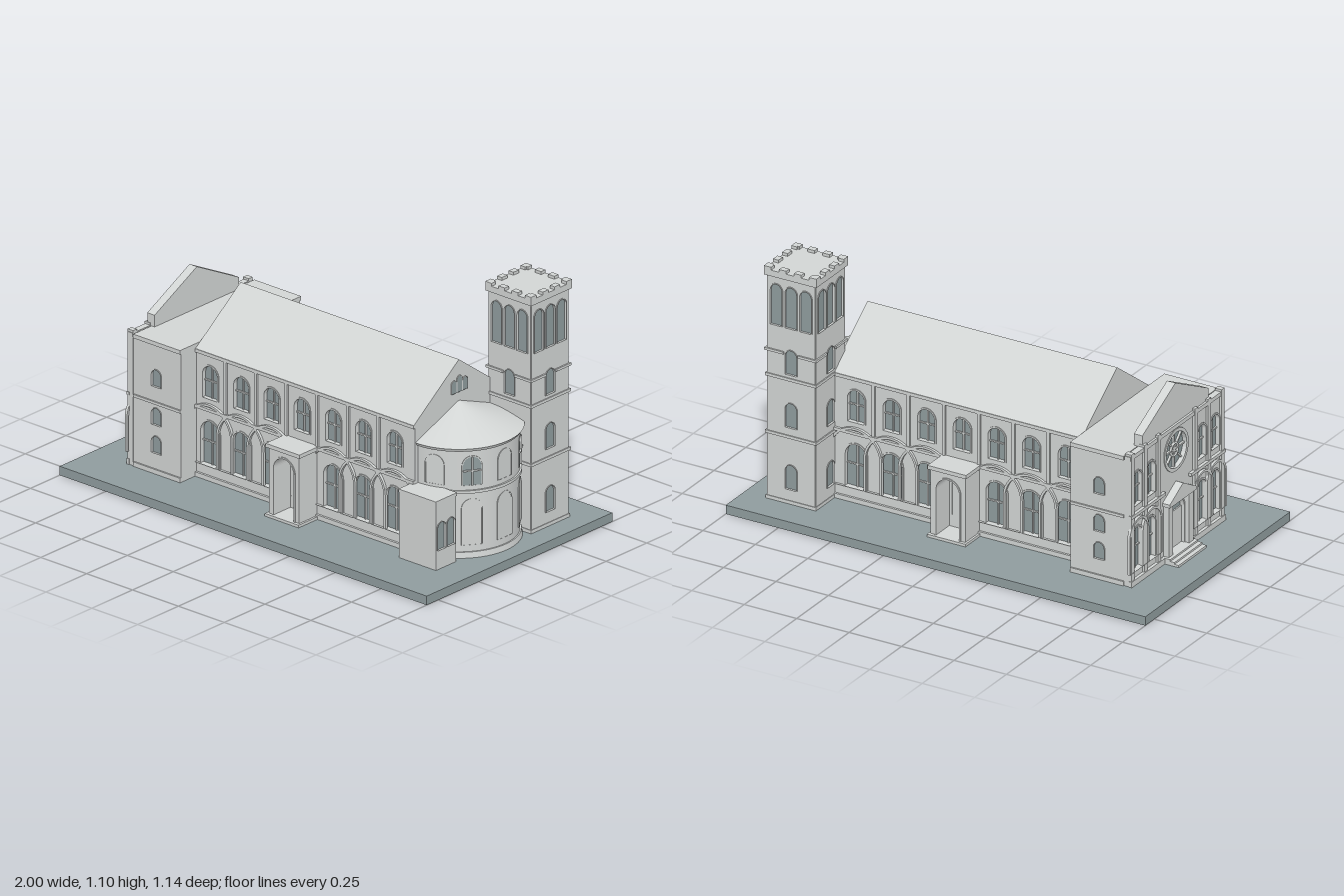
import * as THREE from 'three';

const stone = new THREE.MeshStandardMaterial({ color: 0xd2d5d4, side: THREE.DoubleSide });
stone.name = 'pale stone';
const slate = new THREE.MeshStandardMaterial({ color: 0x8f9c9e });
slate.name = 'blue grey slate';

function add(parent, name, geo, mat = stone) {
  const m = new THREE.Mesh(geo, mat);
  m.name = name;
  parent.add(m);
  return m;
}

function box(parent, name, x0, x1, y0, y1, z0, z1, mat = stone) {
  const m = add(parent, name, new THREE.BoxGeometry(x1 - x0, y1 - y0, z1 - z0), mat);
  m.position.set((x0 + x1) / 2, (y0 + y1) / 2, (z0 + z1) / 2);
  return m;
}

function extrude(parent, name, shape, depth, z = 0, mat = stone) {
  const geo = new THREE.ExtrudeGeometry(shape, { depth, bevelEnabled: false, curveSegments: 12 });
  const m = add(parent, name, geo, mat);
  m.position.z = z;
  return m;
}

const polygon = (pts) => new THREE.Shape(pts.map((p) => new THREE.Vector2(...p)));

// Outline of a round-headed or fully round opening, grown by g
function opening(path, { x, y, w, h, round }, g = 0) {
  const r = w / 2 + g;
  if (round) return path.absarc(x, y, r, 0, Math.PI * 2, false);
  const spring = y + h - w / 2;
  path.moveTo(x - r, y);
  path.lineTo(x + r, y);
  path.lineTo(x + r, spring);
  path.absarc(x, spring, r, 0, Math.PI, false);
  path.lineTo(x - r, y);
  return path;
}

// Pane, raised surround and glazing bars of one window
function windowParts(parent, o, back, front) {
  extrude(parent, 'windowPane', opening(new THREE.Shape(), o), 0.003, back, o.blind ? stone : slate);
  const ring = (g0, g1, depth) => {
    const s = opening(new THREE.Shape(), o, g1);
    s.holes.push(opening(new THREE.Path(), o, g0));
    extrude(parent, 'windowSurround', s, depth, front);
  };
  ring(0, o.frame ?? 0.007, 0.004);
  if (o.hood) ring(o.hood - 0.01, o.hood, 0.012);
  if (o.bars) {
    box(parent, 'mullion', o.x - 0.003, o.x + 0.003, o.y, o.y + o.h, back, back + 0.01);
    const my = o.y + o.h * 0.52;
    box(parent, 'transom', o.x - o.w / 2, o.x + o.w / 2, my - 0.003, my + 0.003, back, back + 0.01);
  }
}

// Wall skin with true window openings, facing local +z
function wall(parent, name, w, y0, y1, depth, windows, pos, rotY) {
  const g = new THREE.Group();
  g.name = name;
  g.position.set(...pos);
  g.rotation.y = rotY;
  parent.add(g);
  const s = polygon([[-w / 2, y0], [w / 2, y0], [w / 2, y1], [-w / 2, y1]]);
  windows.forEach((o) => s.holes.push(opening(new THREE.Path(), o)));
  extrude(g, name + 'Skin', s, depth);
  windows.forEach((o) => windowParts(g, o, 0.001, depth));
  return g;
}

function nave(root) {
  const g = new THREE.Group();
  g.name = 'nave';
  root.add(g);
  box(g, 'naveCore', -0.52, 0.67, 0.04, 0.6, -0.25, 0.25);
  const roof = extrude(g, 'naveRoof', polygon([[-0.28, 0.605], [0.28, 0.605], [0, 0.812]]), 1.19);
  roof.rotation.y = Math.PI / 2;
  roof.position.x = -0.52;
  box(g, 'eaves', -0.52, 0.67, 0.592, 0.607, -0.28, 0.28);
  const bays = [-0.52, -0.35, -0.185, -0.02, 0.15, 0.315, 0.485];
  for (const s of [1, -1]) {
    const wins = [];
    bays.forEach((b, i) => {
      wins.push({ x: b * s, y: 0.4, w: 0.08, h: 0.145, bars: true });
      if (i !== 3) wins.push({ x: b * s, y: 0.105, w: 0.1, h: 0.195, bars: true, hood: 0.079 });
    });
    const side = wall(g, 'naveSide', 1.19, 0.04, 0.6, 0.02, wins, [0.075, 0, s * 0.25], s > 0 ? 0 : Math.PI);
    box(side, 'stringCourse', -0.595, 0.595, 0.347, 0.36, 0.02, 0.032);
    box(side, 'plinth', -0.595, 0.595, 0.04, 0.06, 0.02, 0.03);
    for (let i = 0; i < 6; i++) {
      const x = s * (bays[i] + bays[i + 1]) / 2;
      box(side, 'upperPilaster', x - 0.007, x + 0.007, 0.36, 0.592, 0.02, 0.028);
    }
    // Side porch: deep arched recess with a door and fanlight
    const porch = wall(side, 'sidePorch', 0.165, 0.04, 0.345, 0.11,
      [{ x: 0, y: 0.05, w: 0.11, h: 0.265 }], [-0.02 * s, 0, 0.021], 0);
    box(porch, 'door', -0.055, 0.055, 0.05, 0.265, 0.004, 0.009);
    box(porch, 'porchCap', -0.092, 0.092, 0.345, 0.362, 0, 0.12);
    box(porch, 'porchStep', -0.092, 0.092, 0.04, 0.052, 0, 0.125);
  }
  // Stepped lights in the east gable
  const lights = new THREE.Group();
  lights.name = 'gableLights';
  lights.position.x = 0.671;
  lights.rotation.y = Math.PI / 2;
  g.add(lights);
  for (const i of [-1, 0, 1])
    windowParts(lights, { x: i * 0.034, y: 0.67, w: 0.028, h: i ? 0.055 : 0.07, frame: 0.003 }, 0, 0);
}

function westBlock(root) {
  const g = new THREE.Group();
  g.name = 'westBlock';
  root.add(g);
  box(g, 'blockCore', -0.78, -0.52, 0.04, 0.62, -0.355, 0.355);
  for (const s of [1, -1]) {
    const wins = [0.13, 0.255, 0.425].map((y) => ({ x: s * -0.005, y, w: 0.05, h: 0.075, frame: 0.003 }));
    wall(g, 'blockSide', 0.26, 0.04, 0.62, 0.01, wins, [-0.65, 0, s * 0.355], s > 0 ? 0 : Math.PI);
  }
  for (const [y0, y1] of [[0.04, 0.06], [0.348, 0.36], [0.61, 0.628]])
    box(g, 'blockBand', -0.775, -0.52, y0, y1, -0.372, 0.372);

  // West front with paired windows, rose and doorway
  const wins = [{ x: 0, y: 0.05, w: 0.12, h: 0.24 }, { x: 0, y: 0.51, w: 0.16, h: 0.16, round: true, frame: 0.015 }];
  for (const x of [-0.305, -0.2, 0.2, 0.305])
    wins.push({ x, y: 0.1, w: 0.065, h: 0.19, bars: true, hood: 0.044 },
      { x, y: 0.39, w: 0.065, h: 0.15, bars: true });
  const f = wall(g, 'westFront', 0.73, 0.04, 0.62, 0.02, wins, [-0.78, 0, 0], -Math.PI / 2);
  for (let i = 0; i < 4; i++) {
    const bar = add(f, 'roseSpoke', new THREE.BoxGeometry(0.16, 0.007, 0.012));
    bar.position.set(0, 0.51, 0.008);
    bar.rotation.z = i * Math.PI / 4;
  }
  const hub = add(f, 'roseHub', new THREE.TorusGeometry(0.028, 0.006, 6, 20));
  hub.position.set(0, 0.51, 0.012);
  for (const x of [-0.355, -0.25, -0.145, 0.145, 0.25, 0.355])
    box(f, 'frontPilaster', x - 0.012, x + 0.012, 0.04, 0.64, 0, 0.03);
  for (const s of [-1, 1]) {
    const [a, b] = s < 0 ? [-0.37, -0.1] : [0.1, 0.37];
    box(f, 'frontBand', a, b, 0.348, 0.362, 0.02, 0.034);
    box(f, 'frontPlinth', a, b, 0.04, 0.065, 0.02, 0.034);
  }
  box(f, 'frontCornice', -0.37, 0.37, 0.612, 0.63, 0, 0.028);
  const gable = [[-0.26, 0.62], [0.26, 0.62], [0.26, 0.68], [0, 0.812], [-0.26, 0.68]];
  extrude(f, 'gableParapet', polygon(gable), 0.04, -0.022);

  // Pedimented west doorway and steps
  box(f, 'westDoor', -0.06, 0.06, 0.05, 0.23, 0.004, 0.01);
  for (const x of [-0.08, 0.08]) box(f, 'doorPier', x - 0.016, x + 0.016, 0.04, 0.3, 0, 0.045);
  const ped = polygon([[-0.105, 0.295], [0.105, 0.295], [0.105, 0.31], [0, 0.368], [-0.105, 0.31]]);
  extrude(f, 'doorPediment', ped, 0.055);
  for (let i = 0; i < 3; i++)
    box(f, 'westStep', -0.11, 0.11, 0.04, 0.05 + i * 0.008, 0, 0.1 - i * 0.02);
}

function apse(root) {
  const g = new THREE.Group();
  g.name = 'apse';
  g.position.x = 0.67;
  root.add(g);
  const drum = (name, rt, rb, y0, y1, open) => {
    const geo = new THREE.CylinderGeometry(rt, rb, y1 - y0, 40, 1, open, 0, Math.PI);
    add(g, name, geo).position.y = (y0 + y1) / 2;
  };
  drum('apseWall', 0.25, 0.25, 0.04, 0.525, true);
  drum('apsePlinth', 0.256, 0.26, 0.04, 0.065, false);
  drum('apseBand', 0.258, 0.258, 0.325, 0.338, false);
  drum('apseCornice', 0.265, 0.258, 0.513, 0.528, false);
  drum('apseRoof', 0.002, 0.268, 0.528, 0.63, true);
  [-72, -36, 0, 36, 72].forEach((deg, i) => {
    const bay = new THREE.Group();
    bay.name = 'apseBay';
    bay.rotation.y = Math.PI / 2 + deg * Math.PI / 180;
    g.add(bay);
    windowParts(bay, { x: 0, y: 0.095, w: 0.08, h: 0.2, blind: true, frame: 0.005 }, 0.247, 0.247);
    windowParts(bay, { x: 0, y: 0.36, w: 0.076, h: 0.125, blind: i % 2 === 0, bars: i % 2 === 1, frame: 0.005 }, 0.248, 0.248);
  });
}

function tower(root) {
  const g = new THREE.Group();
  g.name = 'bellTower';
  g.position.set(0.777, 0, -0.307);
  root.add(g);
  box(g, 'towerCore', -0.107, 0.107, 0.04, 1.06, -0.107, 0.107);
  for (let k = 0; k < 4; k++) {
    const wins = [0.105, 0.385, 0.625].map((y) => ({ x: 0, y, w: 0.055, h: 0.11, frame: 0.003 }));
    for (const x of [-0.07, 0, 0.07]) wins.push({ x, y: 0.835, w: 0.054, h: 0.185, frame: 0.004 });
    const a = k * Math.PI / 2;
    const face = wall(g, 'towerFace', 0.23, 0.04, 1.06, 0.01, wins,
      [Math.sin(a) * 0.107, 0, Math.cos(a) * 0.107], a);
    // Bands stop either side of the third-stage window
    for (const s of [-1, 1]) {
      const [x0, x1] = s < 0 ? [-0.124, -0.034] : [0.034, 0.124];
      box(face, 'windowBand', x0, x1, 0.713, 0.724, 0, 0.017);
    }
    // Battlements
    for (let i = 0; i < 4; i++) {
      const x = -0.108 + i * 0.072;
      box(face, 'merlon', x - 0.017, x + 0.017, 1.08, 1.095, -0.008, 0.018);
    }
  }
  for (const [y0, y1, r] of [[0.04, 0.055, 0.12], [0.337, 0.35, 0.122], [0.597, 0.61, 0.122], [1.055, 1.082, 0.125]])
    box(g, 'towerBand', -r, r, y0, y1, -r, r);
}

function annex(root) {
  const g = new THREE.Group();
  g.name = 'vestry';
  root.add(g);
  box(g, 'vestryCore', 0.655, 0.845, 0.04, 0.332, 0.226, 0.35);
  box(g, 'vestryRoof', 0.653, 0.857, 0.332, 0.346, 0.222, 0.353);
  const wins = [-0.029, 0.029].map((x) => ({ x, y: 0.125, w: 0.05, h: 0.122, frame: 0.002 }));
  wall(g, 'vestryEast', 0.124, 0.04, 0.332, 0.01, wins, [0.845, 0, 0.288], Math.PI / 2);
}

export function createModel() {
  const root = new THREE.Group();
  root.name = 'basilica';
  box(root, 'groundSlab', -1, 1, 0, 0.04, -0.57, 0.57, slate);
  nave(root);
  westBlock(root);
  apse(root);
  tower(root);
  annex(root);
  return root;
}
